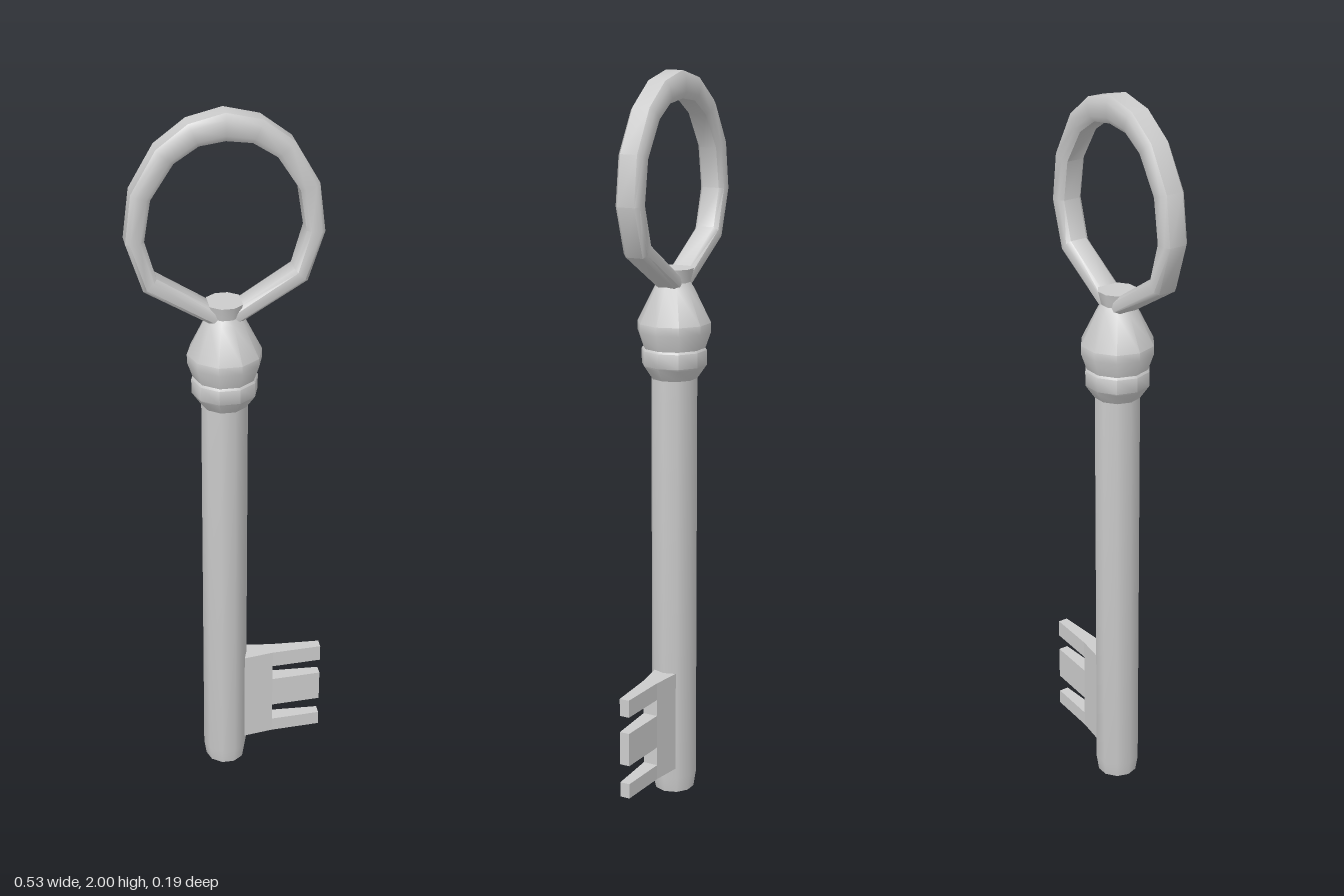
import * as THREE from 'three';
import { toCreasedNormals } from 'three/addons/utils/BufferGeometryUtils.js';

const AXIS = -0.012; // x of the key's long axis
const material = new THREE.MeshStandardMaterial({ color: 0xcccccc });

function add(group, name, geometry, crease = 0.7) {
  const mesh = new THREE.Mesh(toCreasedNormals(geometry, crease), material);
  mesh.name = name;
  group.add(mesh);
  return mesh;
}

// Ten-sided turned part with a corner on the x axis
function turned(profile) {
  const points = profile.map(([r, y]) => new THREE.Vector2(r, y));
  return new THREE.LatheGeometry(points, 10, Math.PI / 2);
}

// Closed loop of chamfered sections swept along a mirrored path
function bowGeometry() {
  // x, y, half the radial thickness
  const half = [[0.195, 1.557, 0.024], [0.231, 1.675, 0.024], [0.214, 1.795, 0.026],
    [0.152, 1.897, 0.029], [0.08, 1.948, 0.032]];
  const path = [[0, 1.435, 0.024], ...half, [0, 1.964, 0.036],
    ...half.slice().reverse().map(([x, y, t]) => [-x, y, t])];
  const section = [[1, 0.7], [0.55, 1], [-0.55, 1], [-1, 0.7],
    [-1, -0.7], [-0.55, -1], [0.55, -1], [1, -0.7]];
  const n = path.length, m = section.length, positions = [], index = [];
  path.forEach(([x, y, t], i) => {
    const a = path[(i + n - 1) % n], b = path[(i + 1) % n];
    const out = new THREE.Vector2(b[1] - a[1], a[0] - b[0]).normalize();
    for (const [r, z] of section) positions.push(x + out.x * r * t, y + out.y * r * t, z * 0.035);
    for (let j = 0; j < m; j++) {
      const k = (j + 1) % m, i2 = (i + 1) % n;
      const p = i * m + j, q = i * m + k, s = i2 * m + j, u = i2 * m + k;
      index.push(p, s, q, q, s, u);
    }
  });
  const geometry = new THREE.BufferGeometry();
  geometry.setAttribute('position', new THREE.Float32BufferAttribute(positions, 3));
  geometry.setIndex(index);
  return geometry;
}

// Block whose half thickness goes from z0 at its inner end to z1 at its outer end
function taperedBlock(x0, x1, y0, y1, z0, z1) {
  const geometry = new THREE.BoxGeometry(x1 - x0, y1 - y0, 2);
  geometry.translate((x0 + x1) / 2, (y0 + y1) / 2, 0);
  const p = geometry.attributes.position;
  for (let i = 0; i < p.count; i++) {
    p.setZ(i, p.getZ(i) * (p.getX(i) < (x0 + x1) / 2 ? z0 : z1));
  }
  return geometry;
}

export function createModel() {
  const key = new THREE.Group();
  key.name = 'key';

  // Turned stem, collar and head
  const stem = new THREE.Group();
  stem.name = 'stem';
  stem.position.x = AXIS;
  key.add(stem);
  add(stem, 'shaft', turned([[0, 0], [0.056, 0], [0.063, 0.045], [0.063, 1.23], [0, 1.23]]));
  add(stem, 'collar', turned([[0, 1.19], [0.063, 1.19], [0.085, 1.222], [0.089, 1.228],
    [0.089, 1.268], [0.083, 1.276], [0, 1.276]]));
  add(stem, 'head', turned([[0, 1.27], [0.084, 1.272], [0.1, 1.318], [0.1, 1.342],
    [0.054, 1.435], [0.044, 1.45], [0.053, 1.487], [0, 1.487]]));

  // Ring handle
  add(key, 'bow', bowGeometry(), 0.8).position.x = AXIS;

  // Bit: flared plate with three teeth
  const bit = new THREE.Group();
  bit.name = 'bit';
  key.add(bit);
  add(bit, 'bitPlate', taperedBlock(0.03, 0.125, 0.075, 0.36, 0.035, 0.021));
  for (const [y0, y1] of [[0.075, 0.117], [0.17, 0.264], [0.311, 0.36]]) {
    add(bit, 'tooth', taperedBlock(0.125, 0.267, y0, y1, 0.021, 0.014));
  }
  return key;
}
